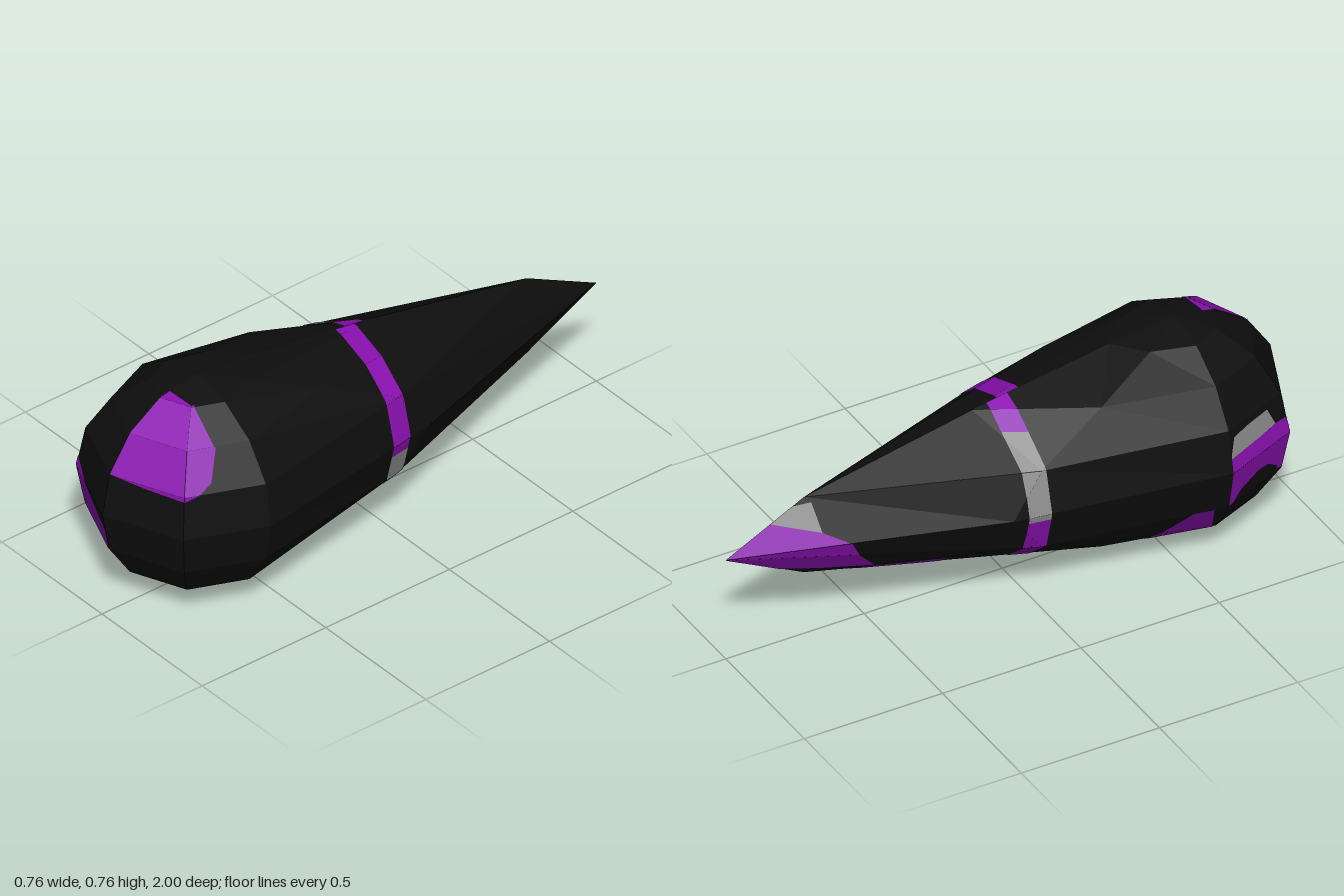
import * as THREE from 'three';

const R = 0.378, CZ = 0.62;

// Coarse sphere whose rear half is drawn out into a point
function bodyGeometry() {
  const g = new THREE.SphereGeometry(R, 8, 8).toNonIndexed();
  const p = g.attributes.position;
  for (let i = 0; i < p.count; i++) {
    const z = p.getZ(i), u = z / R;
    p.setXYZ(i, p.getX(i), p.getY(i) + R, CZ + (z < 0 ? 0.443 * u + 1.177 * u ** 3 : z));
  }
  g.deleteAttribute('uv');
  g.computeVertexNormals();
  return g;
}

// Cut a 3D polygon down to a convex outline given on axes a, b
function clip(points, outline, a, b) {
  let area = 0;
  outline.forEach((p, i) => {
    const q = outline[(i + 1) % outline.length];
    area += p[0] * q[1] - q[0] * p[1];
  });
  const sign = Math.sign(area);
  outline.forEach((p, i) => {
    const q = outline[(i + 1) % outline.length], out = [];
    const side = v => sign * ((q[0] - p[0]) * (v[b] - p[1]) - (q[1] - p[1]) * (v[a] - p[0]));
    points.forEach((v, k) => {
      const w = points[(k + 1) % points.length], s = side(v), t = side(w);
      if (s >= 0) out.push(v);
      if (s * t < 0) out.push(v.clone().lerp(w, s / (s - t)));
    });
    points = out;
  });
  return points;
}

// Thin skin over the facets facing one direction, inside the outlines
function patchGeometry(body, outlines, facing) {
  const axis = facing[1], [a, b] = { x: ['z', 'y'], y: ['x', 'z'], z: ['x', 'y'] }[axis];
  const dir = facing[0] === '+' ? 1 : -1;
  const pos = body.attributes.position, nor = body.attributes.normal, data = [];
  for (let i = 0; i < pos.count; i += 3) {
    const n = new THREE.Vector3().fromBufferAttribute(nor, i);
    if (n[axis] * dir < 0.01) continue;
    const tri = [0, 1, 2].map(k => new THREE.Vector3().fromBufferAttribute(pos, i + k));
    for (const outline of outlines) {
      const poly = clip(tri, outline, a, b).map(v => v.clone().addScaledVector(n, 0.002));
      for (let k = 1; k < poly.length - 1; k++)
        for (const v of [poly[0], poly[k], poly[k + 1]]) data.push(v.x, v.y, v.z);
    }
  }
  const g = new THREE.BufferGeometry();
  g.setAttribute('position', new THREE.Float32BufferAttribute(data, 3));
  g.computeVertexNormals();
  return g;
}

const rect = (x0, x1, y0, y1) => [[x0, y0], [x1, y0], [x1, y1], [x0, y1]];

export function createModel() {
  const group = new THREE.Group();
  const material = (name, color) => {
    const m = new THREE.MeshStandardMaterial({ color });
    m.name = name;
    return m;
  };
  const black = material('black', 0x0e0e0e);
  const purple = material('purple', 0x8a10b0);
  const grey = material('grey', 0x8c8c8c);

  const body = bodyGeometry();
  const add = (name, geometry, mat) => {
    const mesh = new THREE.Mesh(geometry, mat);
    mesh.name = name;
    group.add(mesh);
  };
  const paint = (name, mat, facing, ...outlines) =>
    add(name, patchGeometry(body, outlines, facing), mat);

  add('body', body, black);

  // Upper front patch
  paint('upperFrontPatch', purple, '+z', [[0, 0.525], [0.12, 0.513], [0.25, 0.508], [0.266, 0.522],
    [0.267, 0.55], [0.226, 0.643], [0.105, 0.728], [0, 0.735]]);

  // Lower front patch with a notch, and the grey mark above it
  paint('lowerFrontPatch', purple, '+z',
    [[0, 0.135], [0, 0.317], [-0.13, 0.362], [-0.13, 0.2]],
    [[-0.13, 0.2], [-0.13, 0.362], [-0.262, 0.415], [-0.262, 0.25], [-0.245, 0.236]],
    [[-0.262, 0.26], [-0.262, 0.437], [-0.28, 0.44], [-0.29, 0.437], [-0.29, 0.3]],
    [[-0.29, 0.3], [-0.29, 0.437], [-0.31, 0.433], [-0.31, 0.303]],
    [[-0.31, 0.303], [-0.31, 0.433], [-0.372, 0.425], [-0.38, 0.378], [-0.335, 0.275]],
    [[-0.335, 0.275], [-0.38, 0.378], [-0.349, 0.235], [-0.342, 0.235]]);
  paint('frontMark', grey, '+z',
    [[-0.28, 0.44], [-0.28, 0.503], [-0.32, 0.5], [-0.347, 0.492], [-0.37, 0.426], [-0.31, 0.433]]);

  // Underside patch and spot
  paint('undersidePatch', purple, '-y', [[0, 0.7], [-0.14, 0.66], [-0.2, 0.635], [-0.349, 0.62],
    [-0.33, 0.5], [-0.22, 0.39], [0, 0.43]]);
  paint('undersideSpot', grey, '-y', [[0.01, 0.18], [0.03, 0.15], [0.055, 0.17], [0.05, 0.2], [0.025, 0.21]]);

  // Band around the middle, offset between the two sides
  paint('leftBand', purple, '+x', rect(-0.02, 0.057, 0.335, 0.78));
  paint('leftBandLower', grey, '+x', rect(-0.02, 0.057, -0.01, 0.335));
  paint('rightBand', purple, '-x', rect(-0.058, 0.017, 0.6, 0.78), rect(-0.058, 0.017, -0.01, 0.355));
  paint('rightBandMiddle', grey, '-x', rect(-0.058, 0.017, 0.355, 0.6));

  // Tail markings
  paint('tailPatchUpper', purple, '+y', [[0, -1], [0, -0.84], [-0.07, -0.69], [-0.118, -0.61]]);
  paint('tailMark', grey, '+y', [[0, -0.84], [0, -0.76], [-0.015, -0.7], [-0.07, -0.69]]);
  paint('tailPatchLower', purple, '-y',
    [[0, -1], [0, -0.8], [-0.025, -0.68], [-0.074, -0.5], [-0.118, -0.61]],
    [[-0.04, -0.6], [-0.075, -0.48], [-0.13, -0.33], [-0.12, -0.25], [-0.09, -0.28], [-0.03, -0.5]]);

  return group;
}
